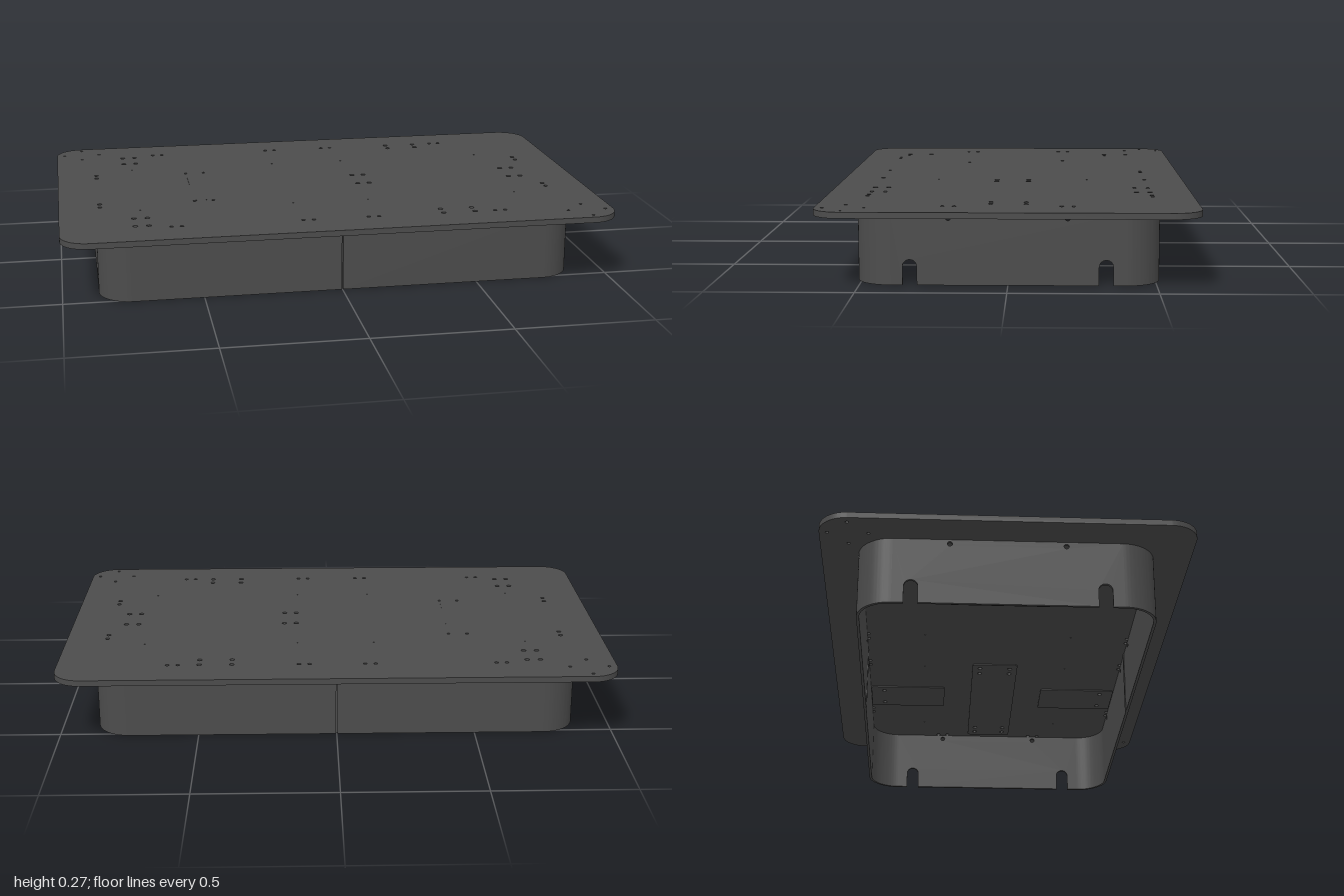
import * as THREE from 'three';
import { toCreasedNormals } from 'three/addons/utils/BufferGeometryUtils.js';

const X = 0.87, Z = 0.515, R = 0.12, T = 0.01;   // skirt half sizes, corner radius, wall thickness
const H = 0.245, TOP = 0.266;                    // underside and top of the plate

export function createModel() {
  const model = new THREE.Group();
  const grey = new THREE.MeshStandardMaterial({ color: 0x4c4c4c });
  grey.name = 'dark grey';

  const add = (name, geo, x = 0, y = 0, z = 0, ry = 0) => {
    const mesh = new THREE.Mesh(geo, grey);
    mesh.name = name;
    mesh.position.set(x, y, z);
    mesh.rotation.y = ry;
    model.add(mesh);
    return mesh;
  };
  const extrude = (shape, depth, curveSegments = 12) => toCreasedNormals(
    new THREE.ExtrudeGeometry(shape, { depth, bevelEnabled: false, curveSegments }), 0.5);
  const punch = (shape, x, y, r) => shape.holes.push(new THREE.Path().absarc(x, y, r, 0, Math.PI * 2, true));

  // Drill holes as [x, z, radius]
  const holes = [];
  const grid = (xs, zs, r) => {
    for (const x of xs) for (const z of zs) holes.push([x, z, r], [x, -z, r]);
  };
  grid([-0.735, -0.687], [0.38, 0.473], 0.009);
  grid([0.375, 0.492], [0.45, 0.498], 0.009);
  grid([0.145, 0.19, 0.75, 0.797], [0.06], 0.009);
  grid([-0.85, 0.85], [0.18, 0.22], 0.008);
  grid([-0.61, -0.573, -0.14, -0.102, 0.097, 0.135, 0.567, 0.605], [0.5], 0.007);
  grid([-0.5, -0.43], [0.195], 0.006);
  grid([-0.707, -0.143, 0.14, 0.705], [0.282], 0.003);
  for (const s of [-1, 1]) {
    for (const [dx, dz] of [[0.07, 0], [-0.07, 0], [0, 0.07], [0, -0.07]]) {
      holes.push([s * 0.9 + dx, s * 0.547 + dz, 0.006]);
    }
  }

  // Horizontal rounded sheet, drilled wherever a hole falls inside it
  const sheet = (name, x0, x1, z0, z1, r, y, depth) => {
    const s = new THREE.Shape();
    s.absarc(x1 - r, -z0 - r, r, 0, Math.PI / 2);
    s.absarc(x0 + r, -z0 - r, r, Math.PI / 2, Math.PI);
    s.absarc(x0 + r, -z1 + r, r, Math.PI, Math.PI * 1.5);
    s.absarc(x1 - r, -z1 + r, r, Math.PI * 1.5, Math.PI * 2);
    for (const [x, z, hr] of holes) {
      if (x - hr > x0 && x + hr < x1 && z - hr > z0 && z + hr < z1) punch(s, x, -z, hr);
    }
    add(name, extrude(s, depth).rotateX(-Math.PI / 2), 0, y, 0);
  };
  sheet('topPlate', -1, 1, -0.645, 0.645, 0.1, H, TOP - H);

  // Shallow mounting pads on the underside
  const pad = (name, x0, x1, z0, z1) => sheet(name, x0, x1, z0, z1, 0.01, H - 0.004, 0.004);
  pad('centrePad', 0.11, 0.83, -0.09, 0.09);
  for (const s of [-1, 1]) {
    const zs = (a, b) => (s > 0 ? [a, b] : [-b, -a]);
    pad('cornerPad', -0.77, -0.65, ...zs(0.35, 0.475 + 0.027));
    pad('sidePad', 0.34, 0.525, ...zs(0.2, 0.485 + 0.018));
  }

  // Bar let into the plate
  add('crossBar', new THREE.BoxGeometry(0.07, 0.0405, 0.376), -0.465, TOP - 0.02, 0);

  // Upright wall from u0 to u1 with round holes and arched slots in the lower edge
  const wall = (u0, u1, drilled, slots = []) => {
    const s = new THREE.Shape();
    s.moveTo(u0, H);
    s.lineTo(u0, 0);
    for (const u of slots) {
      s.lineTo(u - 0.024, 0);
      s.absarc(u, 0.063, 0.024, Math.PI, 0, true);
      s.lineTo(u + 0.024, 0);
    }
    s.lineTo(u1, 0);
    s.lineTo(u1, H);
    s.closePath();
    for (const u of drilled) punch(s, u, 0.229, 0.009);
    return extrude(s, T);
  };

  // Front and back walls, each in two halves meeting at a seam
  const gap = 0.002;
  const rightHalf = wall(gap, X - R, [0.118, 0.587]);
  const leftHalf = wall(-X + R, -gap, [-0.118, -0.587]);
  for (const s of [-1, 1]) {
    const name = s > 0 ? 'frontWall' : 'backWall';
    const ry = s > 0 ? 0 : Math.PI;
    add(name, rightHalf, 0, 0, s * (Z - T), ry);
    add(name, leftHalf, 0, 0, s * (Z - T), ry);
    add('seamStrip', new THREE.BoxGeometry(0.016, H, 0.003), 0, H / 2, s * (Z - T - 0.001));
  }

  // Side walls with cable slots
  const side = wall(-Z + R, Z - R, [-0.2, 0.2], [-0.33, 0.33]);
  for (const s of [-1, 1]) add('sideWall', side, s * (X - T), 0, 0, s * Math.PI / 2);

  // Rounded skirt corners
  const arc = new THREE.Shape();
  arc.absarc(0, 0, R, 0, Math.PI / 2);
  arc.absarc(0, 0, R - T, Math.PI / 2, 0, true);
  const corner = extrude(arc, H, 16).rotateX(-Math.PI / 2);
  [[1, -1], [-1, -1], [-1, 1], [1, 1]].forEach(([sx, sz], k) =>
    add('skirtCorner', corner, sx * (X - R), 0, sz * (Z - R), k * Math.PI / 2));

  return model;
}
